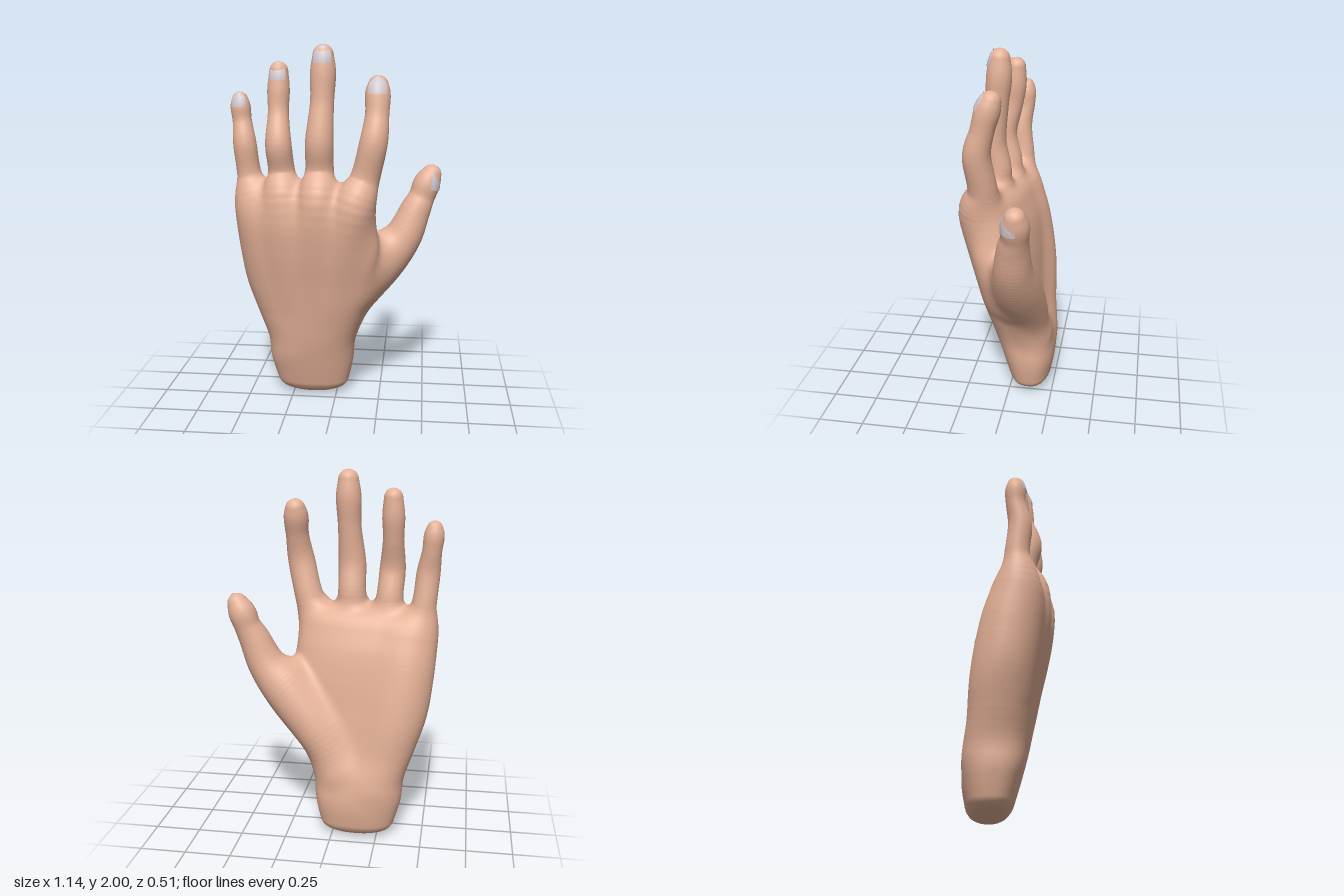
import * as THREE from 'three';

const SKIN = new THREE.MeshStandardMaterial({ color: 0xe6b298 });
const NAIL = new THREE.MeshStandardMaterial({ color: 0xd0c8ce, side: THREE.DoubleSide });

// Joints of each digit or muscle: x, y, z, radius
const CHAINS = {
  index: [[0, 0.6, 0, 0.09], [0.1, 1.11, 0.14, 0.115], [0.168, 1.3, 0.115, 0.08], [0.215, 1.5, 0.135, 0.074],
    [0.23, 1.64, 0.102, 0.063], [0.231, 1.74, 0.075, 0.067], [0.232, 1.79, 0.058, 0.054]],
  middle: [[-0.1, 0.6, 0, 0.09], [-0.08, 1.13, 0.128, 0.113], [-0.075, 1.33, 0.08, 0.078], [-0.072, 1.5, 0.106, 0.075],
    [-0.06, 1.7, 0.08, 0.063], [-0.056, 1.85, 0.066, 0.068], [-0.055, 1.945, 0.062, 0.055]],
  ring: [[-0.23, 0.6, -0.01, 0.09], [-0.27, 1.13, 0.085, 0.11], [-0.284, 1.32, 0.05, 0.074], [-0.295, 1.48, 0.08, 0.07],
    [-0.3, 1.64, 0.035, 0.056], [-0.3, 1.76, 0.018, 0.06], [-0.298, 1.86, 0.012, 0.05]],
  little: [[-0.33, 0.6, -0.03, 0.08], [-0.432, 1.1, 0.015, 0.1], [-0.472, 1.3, 0, 0.067], [-0.49, 1.47, 0.015, 0.063],
    [-0.506, 1.59, -0.008, 0.052], [-0.514, 1.665, -0.012, 0.054], [-0.517, 1.707, -0.013, 0.042]],
  thumb: [[-0.03, 0.4, -0.12, 0.1], [0.09, 0.6, -0.1, 0.126], [0.25, 0.8, -0.08, 0.13], [0.37, 0.95, -0.078, 0.104],
    [0.436, 1.1, -0.09, 0.084], [0.47, 1.175, -0.103, 0.072], [0.495, 1.245, -0.108, 0.074], [0.52, 1.3, -0.11, 0.055]],
  thumbWeb: [[0.12, 0.68, -0.03, 0.1], [0.19, 0.79, -0.04, 0.09], [0.25, 0.885, -0.05, 0.075]],
  heelOfHand: [[-0.25, 0.32, -0.11, 0.09], [-0.335, 0.65, -0.1, 0.112], [-0.385, 0.92, -0.065, 0.1], [-0.4, 1.1, -0.02, 0.08]],
};

// How widely the fleshy parts melt into the palm
const SOFTNESS = { thumb: 0.08, thumbWeb: 0.08, heelOfHand: 0.12 };

// Wrist and palm sections: y, right edge x, left edge x, back z, palm z
const SECTIONS = [
  [0.05, -0.335, 0.062, 0, -0.225], [0.2, -0.375, 0.095, 0.045, -0.25], [0.35, -0.375, 0.11, 0.085, -0.24],
  [0.5, -0.425, 0.15, 0.115, -0.195], [0.7, -0.495, 0.22, 0.155, -0.17], [0.9, -0.525, 0.25, 0.193, -0.15],
  [1.05, -0.535, 0.23, 0.203, -0.125], [1.15, -0.535, 0.215, 0.18, -0.09], [1.25, -0.525, 0.2, 0.13, -0.05],
];

const smin = (a, b, k) => Math.min(a, b) - Math.max(k - Math.abs(a - b), 0) ** 2 / (4 * k);
const smax = (a, b, k) => -smin(-a, -b, k);

// Smooth curve through rows of numbers
const curveThrough = (params, rows) =>
  new THREE.CubicInterpolant(params, rows.flat(), rows[0].length, new Array(rows[0].length));

const sections = curveThrough(SECTIONS.map(s => s[0]), SECTIONS.map(s => s.slice(1)));

function palmDistance(x, y, z) {
  const [x0, x1, back, front] = sections.evaluate(y);
  const a = (x1 - x0) / 2, b = (back - front) / 2, n = 2.4;
  const dx = x - (x0 + x1) / 2;
  const tilt = 0.12 * THREE.MathUtils.smoothstep(y, 0.2, 0.6);
  const u = Math.abs(dx / a) + 1e-4;
  const v = Math.abs((z - (back + front) / 2 - tilt * dx) / b) + 1e-4;
  const f = (u ** n + v ** n) ** (1 / n);
  const slope = Math.hypot((u / f) ** (n - 1) / a, (v / f) ** (n - 1) / b);
  // rounded knuckle end and shallow domed wrist end
  const body = smax((f - 1) / slope, y - 1.27, 0.1);
  return smax(body, 0.05 * Math.min(f * f, 1.5) - y, 0.03);
}

// Subdivide a chain of joints into short tapered segments
function smoothChain(joints, steps = 8) {
  const curve = curveThrough(joints.map((_, i) => i), joints);
  const count = (joints.length - 1) * steps;
  return Array.from({ length: count + 1 }, (_, i) => [...curve.evaluate(i / steps)]);
}

function chainDistance(points, x, y, z) {
  // too far above or below to matter
  if (y < points[0][1] - 0.25 || y > points.at(-1)[1] + 0.25) return Infinity;
  let best = Infinity;
  for (let i = 1; i < points.length; i++) {
    const p = points[i - 1], q = points[i];
    const ex = q[0] - p[0], ey = q[1] - p[1], ez = q[2] - p[2];
    const px = x - p[0], py = y - p[1], pz = z - p[2];
    const t = Math.min(1, Math.max(0, (px * ex + py * ey + pz * ez) / (ex * ex + ey * ey + ez * ez)));
    const cx = px - t * ex, cy = py - t * ey, cz = pz - t * ez;
    best = Math.min(best, Math.sqrt(cx * cx + cy * cy + cz * cz) - p[3] - t * (q[3] - p[3]));
  }
  return best;
}

// Wrap a closed skin around a distance field: one vertex per crossed cell, settled on the surface
function wrapSkin(field, min, max, h) {
  const n = min.map((m, i) => Math.ceil((max[i] - m) / h) + 1);
  const stride = [1, n[0], n[0] * n[1]];
  const values = new Float32Array(n[0] * n[1] * n[2]);
  const vertexOf = new Int32Array(values.length).fill(-1);
  const positions = [], normals = [], indices = [];

  const eachPoint = visit => {
    for (let k = 0, id = 0; k < n[2]; k++)
      for (let j = 0; j < n[1]; j++)
        for (let i = 0; i < n[0]; i++, id++) visit(i, j, k, id);
  };
  const gradient = ([x, y, z], e = 0.008) => [
    field(x + e, y, z) - field(x - e, y, z),
    field(x, y + e, z) - field(x, y - e, z),
    field(x, y, z + e) - field(x, y, z - e),
  ].map(g => g / (2 * e));

  eachPoint((i, j, k, id) => {
    values[id] = field(min[0] + i * h, min[1] + j * h, min[2] + k * h);
  });

  eachPoint((i, j, k, id) => {
    if (i === n[0] - 1 || j === n[1] - 1 || k === n[2] - 1) return;
    let inside = 0;
    for (let c = 0; c < 8; c++)
      if (values[id + (c & 1) + (c >> 1 & 1) * stride[1] + (c >> 2) * stride[2]] < 0) inside++;
    if (inside === 0 || inside === 8) return;
    const p = [i, j, k].map((c, a) => min[a] + (c + 0.5) * h);
    for (let pass = 0; pass < 2; pass++) {
      const g = gradient(p);
      const len2 = Math.max(0.1, g[0] ** 2 + g[1] ** 2 + g[2] ** 2);
      const step = THREE.MathUtils.clamp(field(...p) / len2, -h, h);
      for (let a = 0; a < 3; a++) p[a] -= step * g[a];
    }
    vertexOf[id] = positions.length / 3;
    positions.push(...p);
    normals.push(...new THREE.Vector3(...gradient(p)).normalize());
  });

  // a quad around every grid edge that passes through the surface
  eachPoint((i, j, k, id) => {
    if (!i || !j || !k || i === n[0] - 1 || j === n[1] - 1 || k === n[2] - 1) return;
    for (let d = 0; d < 3; d++) {
      const inside = values[id] < 0;
      if (inside === values[id + stride[d]] < 0) continue;
      const u = stride[(d + 1) % 3], v = stride[(d + 2) % 3];
      const q = [id - u - v, id - v, id, id - u].map(c => vertexOf[c]);
      if (!inside) q.reverse();
      indices.push(q[0], q[1], q[2], q[0], q[2], q[3]);
    }
  });

  const geometry = new THREE.BufferGeometry();
  geometry.setAttribute('position', new THREE.Float32BufferAttribute(positions, 3));
  geometry.setAttribute('normal', new THREE.Float32BufferAttribute(normals, 3));
  geometry.setIndex(indices);
  return geometry;
}

// Nail plate standing on its root: arched across, curving back and rounded towards the free end
function makeNail(name, root, width, length, tilt, turn, lean) {
  const geometry = new THREE.PlaneGeometry(1, 1, 10, 10);
  const pos = geometry.attributes.position;
  const radius = 0.7 * width;
  for (let i = 0; i < pos.count; i++) {
    const t = pos.getY(i) + 0.5;
    const x = pos.getX(i) * width * Math.sqrt(1 - 0.7 * t ** 4);
    const rounding = 1 - 0.6 * t * pos.getX(i) ** 2;
    const arch = Math.sqrt(radius ** 2 - x ** 2) - radius;
    pos.setXYZ(i, x, t * length * rounding, arch - length * (0.1 * t + 0.3 * t * t));
  }
  geometry.computeVertexNormals();
  const nail = new THREE.Mesh(geometry, NAIL);
  nail.name = name;
  nail.position.set(...root);
  nail.rotation.set(tilt, turn, lean, 'ZYX');
  return nail;
}

export function createModel() {
  const hand = new THREE.Group();
  hand.name = 'hand';

  // Skin: palm, digits and fleshy mounds blended together
  const parts = Object.entries(CHAINS).map(([name, joints]) => [smoothChain(joints), SOFTNESS[name] ?? 0.05]);
  const field = (x, y, z) =>
    parts.reduce((d, [chain, softness]) => smin(d, chainDistance(chain, x, y, z), softness), palmDistance(x, y, z));
  const skin = new THREE.Mesh(wrapSkin(field, [-0.63, -0.04, -0.33], [0.65, 2.06, 0.34], 0.0125), SKIN);
  skin.name = 'skin';
  hand.add(skin);

  // Nails
  hand.add(
    makeNail('indexNail', [0.234, 1.755, 0.145], 0.095, 0.092, -0.2, 0.05, 0),
    makeNail('middleNail', [-0.055, 1.905, 0.131], 0.093, 0.09, 0, 0, 0),
    makeNail('ringNail', [-0.3, 1.815, 0.075], 0.085, 0.09, 0, -0.05, 0),
    makeNail('littleNail', [-0.518, 1.67, 0.048], 0.075, 0.076, 0, -0.12, 0.04),
    makeNail('thumbNail', [0.557, 1.215, -0.068], 0.096, 0.125, 0, 1.05, -0.3),
  );

  return hand;
}
